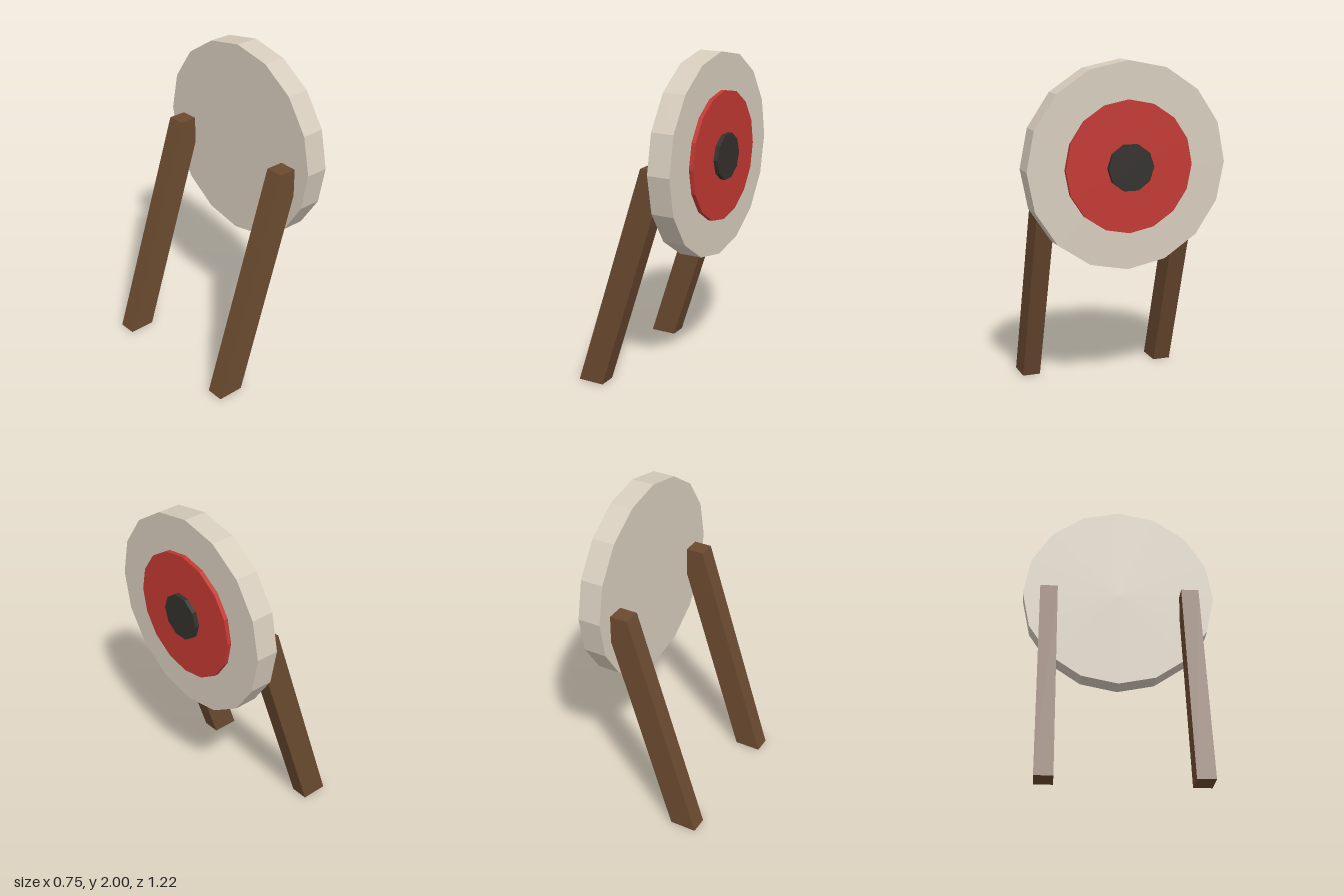
import * as THREE from 'three';

const paint = (color) => new THREE.MeshStandardMaterial({ color, flatShading: true });
const straw = paint(0xd6ccbc);
const red = paint(0xc23832);
const dark = paint(0x33302d);
const wood = paint(0x6b4a30);

const CENTRE_Y = 1.39;

// Disc facing +x, spanning x0 to x1
function disc(name, radius, x0, x1, sides, material) {
  const geometry = new THREE.CylinderGeometry(radius, radius, x1 - x0, sides);
  geometry.rotateZ(-Math.PI / 2);
  const mesh = new THREE.Mesh(geometry, material);
  mesh.name = name;
  mesh.position.set((x0 + x1) / 2, CENTRE_Y, 0);
  return mesh;
}

// Slanted leg: a sheared box with level ends, its top set into the target
function leg(name, z) {
  const shape = new THREE.Shape([
    new THREE.Vector2(-0.375, 0),
    new THREE.Vector2(-0.21, 0),
    new THREE.Vector2(0.235, CENTRE_Y),
    new THREE.Vector2(0.07, CENTRE_Y),
  ]);
  const depth = 0.11;
  const geometry = new THREE.ExtrudeGeometry(shape, { depth, bevelEnabled: false });
  geometry.translate(0, 0, -depth / 2);
  const mesh = new THREE.Mesh(geometry, wood);
  mesh.name = name;
  mesh.position.z = z;
  return mesh;
}

export function createModel() {
  const group = new THREE.Group();
  group.name = 'archeryTarget';
  group.add(
    disc('targetDisc', 0.61, 0.18, 0.32, 16, straw),
    disc('redRing', 0.388, 0.3, 0.346, 16, red),
    disc('bullseye', 0.14, 0.33, 0.373, 10, dark),
    leg('frontLeg', 0.445),
    leg('backLeg', -0.445),
  );
  return group;
}
